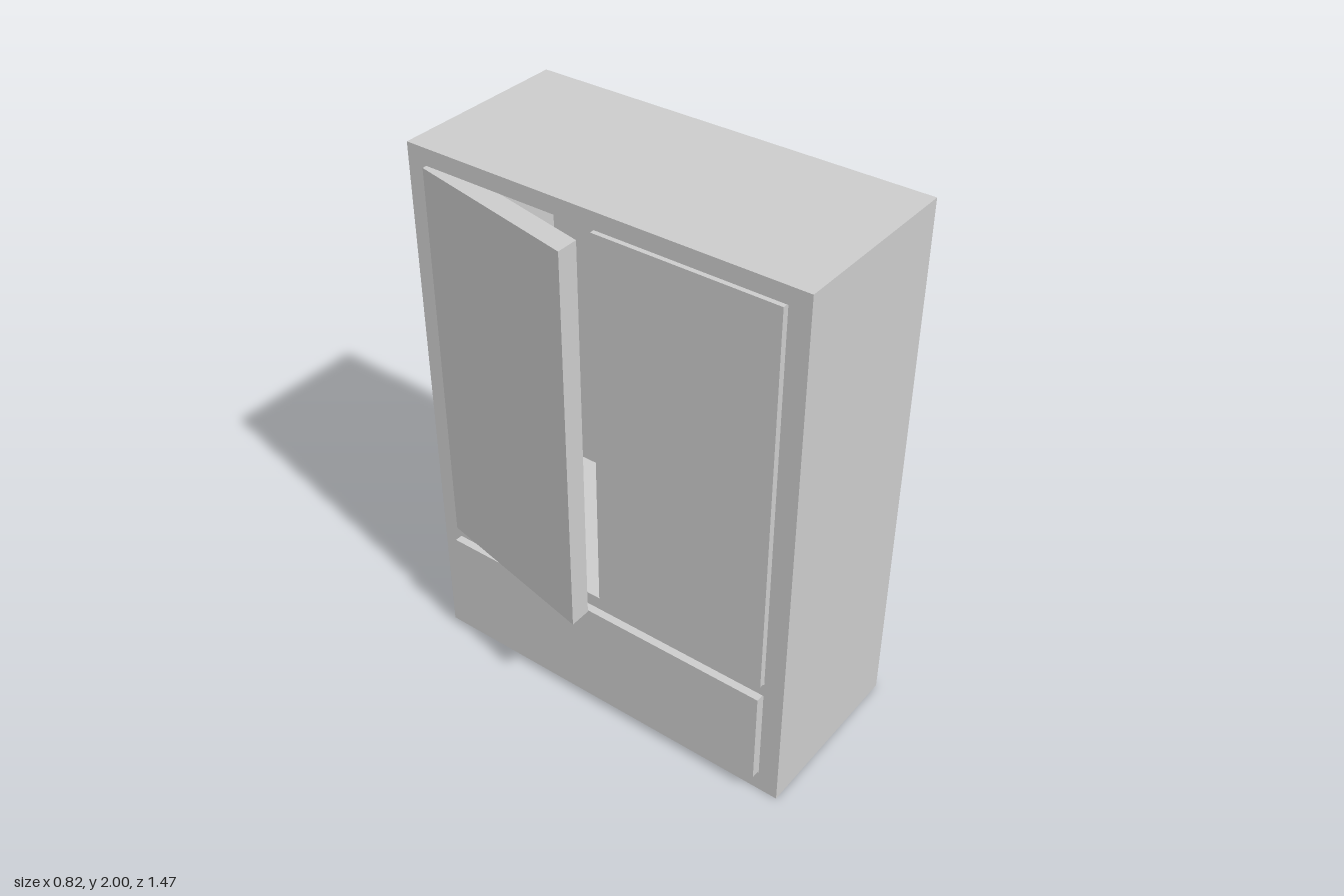
import * as THREE from 'three';

const FRONT = -0.255, BACK = 0.408, HALF = 0.735; // cabinet opens towards -x
const WALL = 0.08, INNER = 0.66;

export function createModel() {
  const group = new THREE.Group();
  const material = new THREE.MeshStandardMaterial({ color: 0xcccccc, flatShading: true });

  const add = (name, geometry) => {
    const mesh = new THREE.Mesh(geometry, material);
    mesh.name = name;
    group.add(mesh);
    return mesh;
  };
  // Box given by its lower and upper limits on each axis
  const block = (x0, x1, y0, y1, z0, z1) =>
    new THREE.BoxGeometry(x1 - x0, y1 - y0, z1 - z0)
      .translate((x0 + x1) / 2, (y0 + y1) / 2, (z0 + z1) / 2);
  const rectangle = (PathType, z0, z1, y0, y1) => new PathType([
    new THREE.Vector2(z0, y0), new THREE.Vector2(z1, y0),
    new THREE.Vector2(z1, y1), new THREE.Vector2(z0, y1),
  ]);

  // Carcass: outer shell with a cupboard opening and a drawer opening
  const outline = rectangle(THREE.Shape, -HALF, HALF, 0, 2);
  outline.holes.push(
    rectangle(THREE.Path, -INNER, INNER, 0.5, 1.94),
    rectangle(THREE.Path, -INNER, INNER, 0.08, 0.45),
  );
  const shell = new THREE.ExtrudeGeometry(outline, { depth: BACK - WALL - FRONT, bevelEnabled: false });
  shell.rotateY(-Math.PI / 2).translate(BACK - WALL, 0, 0);
  add('carcass', shell);
  add('backPanel', block(BACK - WALL, BACK, 0, 2, -HALF, HALF));

  // Drawer front, slightly proud of the frame
  add('drawerFront', block(-0.284, -0.204, 0.08, 0.45, -INNER, INNER - 0.004));

  // Closed door
  add('closedDoor', block(-0.272, -0.192, 0.5, 1.94, -0.004, INNER - 0.004));

  // Ajar door: its free end is slanted outwards from the hinge side
  const ajar = block(-0.272, -0.192, 0.5, 1.94, -INNER, -0.008);
  const p = ajar.attributes.position;
  for (let i = 0; i < p.count; i++) p.setX(i, p.getX(i) - (p.getZ(i) + INNER) * 0.211);
  ajar.computeVertexNormals();
  add('ajarDoor', ajar);

  return group;
}
